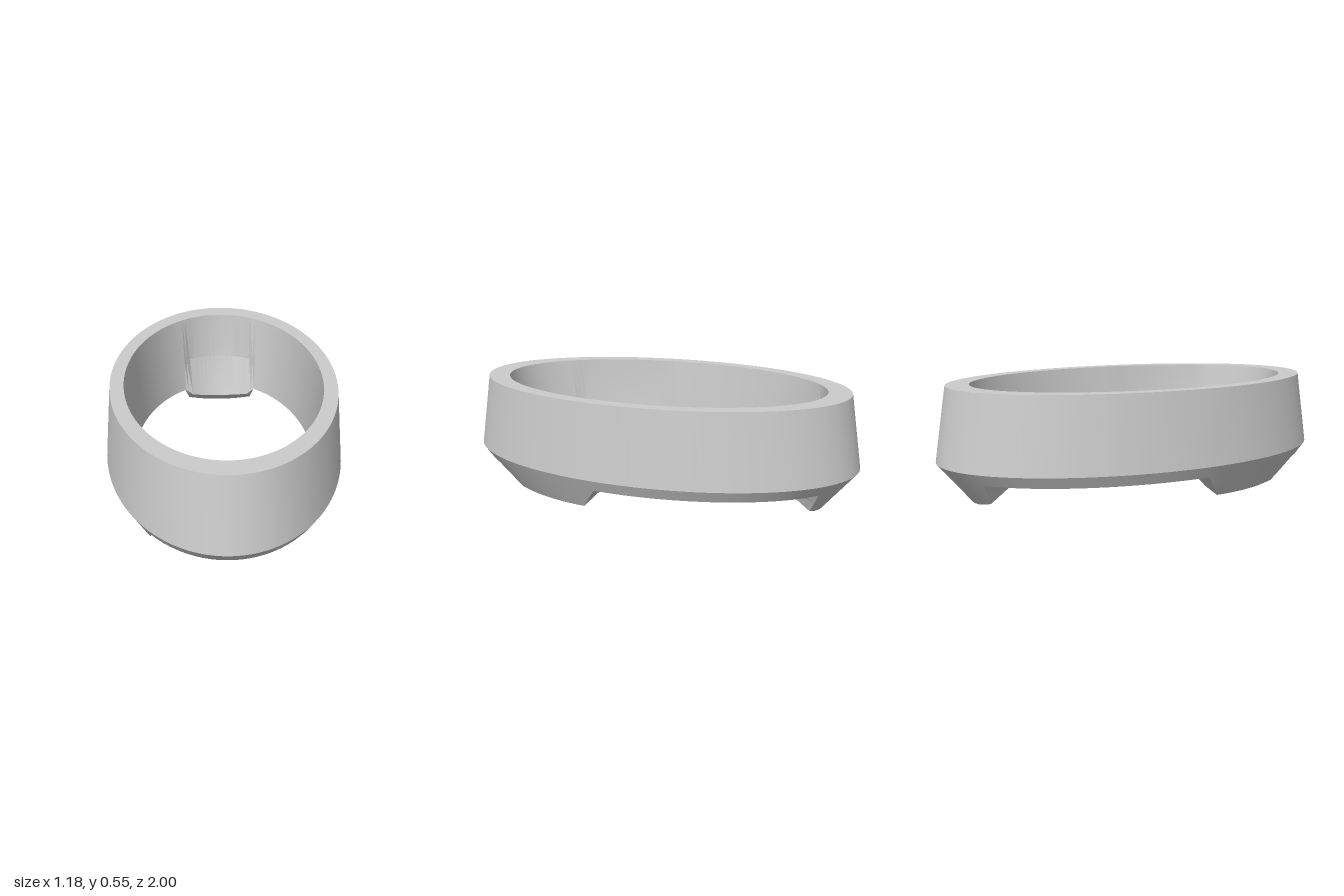
import * as THREE from 'three';
import { toCreasedNormals } from 'three/addons/utils/BufferGeometryUtils.js';

const WIDTH = 0.59; // x radius relative to z radius
const RIM = 0.135; // underside of the ring between tabs

// Tabs under the ring, 120 degrees apart (degrees from the front).
const tabs = [
  { at: 60, inner: 16, outer: 22.5, low: 0.022, rise: 0.004, lip: 0.033, lipRise: 0 },
  { at: 180, inner: 21, outer: 26, low: 0, rise: 0.03, lip: 0.07, lipRise: 0 },
  { at: 300, inner: 16, outer: 22.5, low: 0.022, rise: 0.004, lip: 0.033, lipRise: 0 },
];

const lerp = THREE.MathUtils.lerp;

// Radius of the outer chamfer at height y
const chamfer = (y) => 1 - (0.19 - y) * (0.16 / 0.19);

// Cross-section [radius, y] at an angle, listed down the outside and up the inside
function section(deg) {
  let bottom = RIM, lip = RIM, t = 0;
  for (const tab of tabs) {
    const a = Math.abs(deg - tab.at);
    if (a >= tab.outer) continue;
    t = Math.min(1, (tab.outer - a) / (tab.outer - tab.inner));
    const low = tab.low + tab.rise * Math.min(1, a / tab.inner) ** 2;
    bottom = lerp(RIM, low, t);
    lip = lerp(RIM, low + tab.lip, t);
  }
  return [
    [0.945, 0.55],
    [1, 0.19],
    [chamfer(bottom), bottom],
    [lerp(0.77, 0.75, t), lip],
    [lerp(0.793, 0.815, t), 0.3],
    [0.83, 0.55],
  ];
}

// Angles around the ring, with exact stops at the tab corners
function ringAngles() {
  const set = new Set();
  for (let d = 0; d < 360; d += 3) set.add(d);
  for (const { at, inner, outer } of tabs) {
    for (const a of [inner, outer]) set.add(at - a).add(at + a);
  }
  return [...set].sort((a, b) => a - b);
}

function ringGeometry() {
  const loops = ringAngles().map((deg) => {
    const phi = THREE.MathUtils.degToRad(deg);
    return section(deg).map(([r, y]) => [WIDTH * r * Math.sin(phi), y, r * Math.cos(phi)]);
  });
  const positions = [];
  loops.forEach((loop, i) => {
    const next = loops[(i + 1) % loops.length];
    loop.forEach((a, j) => {
      const k = (j + 1) % loop.length;
      const b = loop[k], c = next[k], d = next[j];
      positions.push(...a, ...b, ...c, ...a, ...c, ...d);
    });
  });
  const geometry = new THREE.BufferGeometry();
  geometry.setAttribute('position', new THREE.Float32BufferAttribute(positions, 3));
  return toCreasedNormals(geometry, 0.22);
}

export function createModel() {
  const model = new THREE.Group();
  model.name = 'ovalCollar';
  // Tapered oval ring with three tabs growing from its lower chamfer
  const ring = new THREE.Mesh(ringGeometry(), new THREE.MeshStandardMaterial({ color: 0xcccccc }));
  ring.name = 'tabbedRing';
  model.add(ring);
  return model;
}
